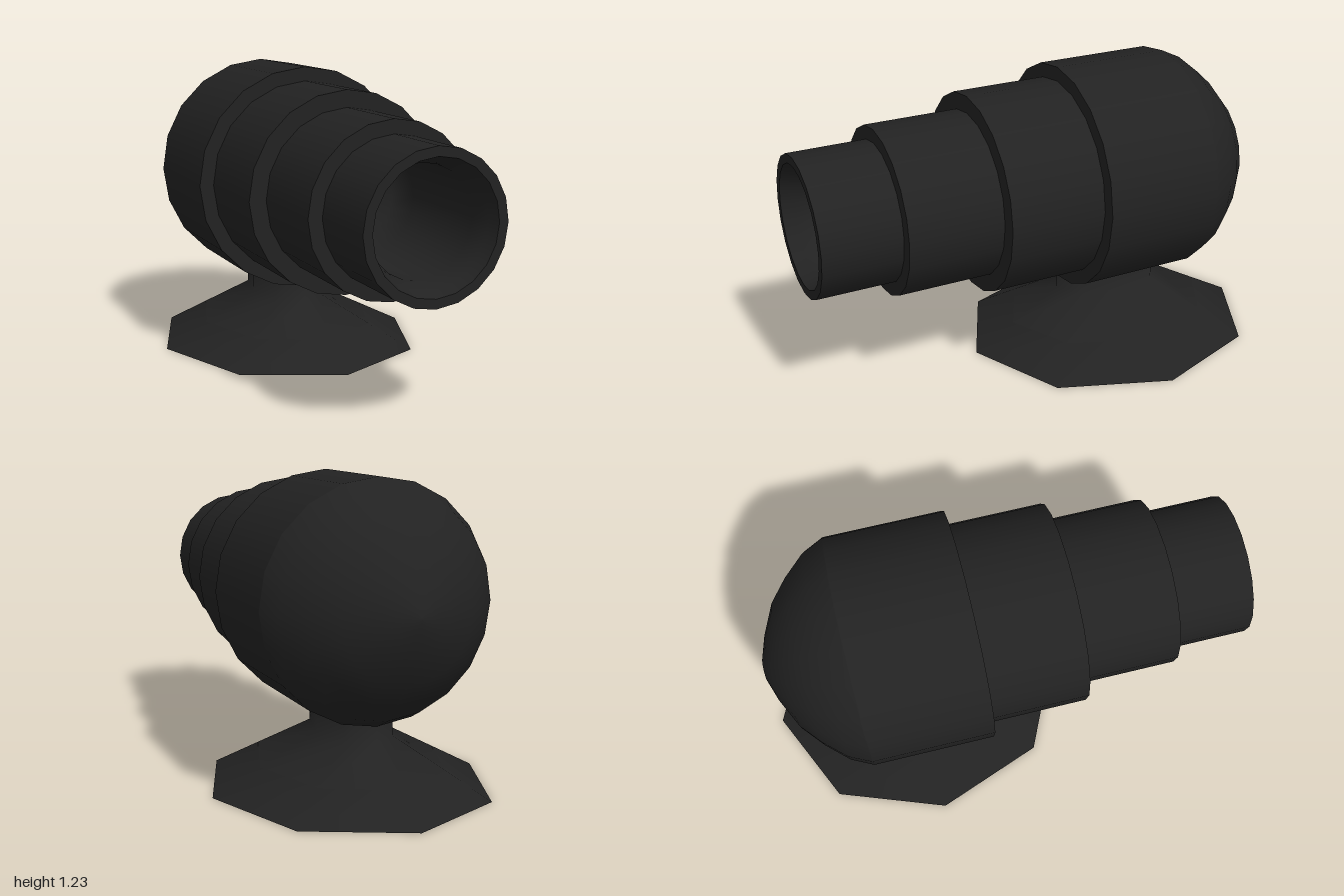
import * as THREE from 'three';

const black = new THREE.MeshStandardMaterial({ color: 0x222222 });
black.name = 'matte black';

const AXIS_X = -0.012, AXIS_Y = 0.757, BASE_Z = -0.36;

// Turned part around the horizontal body axis; profile points are [radius, z].
function turned(name, profile) {
  const points = profile.map(([r, z]) => new THREE.Vector2(r, z));
  const geometry = new THREE.LatheGeometry(points, 20);
  geometry.rotateX(Math.PI / 2);
  const mesh = new THREE.Mesh(geometry, black);
  mesh.name = name;
  mesh.position.set(AXIS_X, AXIS_Y, 0);
  return mesh;
}

// Eight-sided loft through rings [y, halfWidth, halfDepth, centreX], bottom to top.
function octagonLoft(name, rings) {
  const sides = 8, positions = [], index = [];
  for (const [y, rx, rz, cx] of rings) {
    for (let i = 0; i < sides; i++) {
      const a = (i / sides) * Math.PI * 2;
      positions.push(cx + rx * Math.sin(a), y, BASE_Z + rz * Math.cos(a));
    }
  }
  for (let k = 0; k < rings.length - 1; k++) {
    for (let i = 0; i < sides; i++) {
      const a = k * sides + i, b = k * sides + ((i + 1) % sides);
      index.push(a, b, b + sides, a, b + sides, a + sides);
    }
  }
  const geometry = new THREE.BufferGeometry();
  geometry.setAttribute('position', new THREE.Float32BufferAttribute(positions, 3));
  geometry.setIndex(index);
  geometry.computeVertexNormals();
  const mesh = new THREE.Mesh(geometry, black);
  mesh.name = name;
  return mesh;
}

export function createModel() {
  const group = new THREE.Group();
  group.name = 'barrelOnStand';

  // Rounded rear housing
  group.add(turned('rearHousing', [
    [0, -0.952], [0.045, -0.947], [0.138, -0.915], [0.262, -0.855],
    [0.35, -0.78], [0.43, -0.692], [0.472, -0.605], [0.472, -0.6],
  ]));

  // Stepped barrel: [radius, back, front, radius of the next step]
  const steps = [
    [0.472, -0.605, -0.11, 0.4],
    [0.413, -0.12, 0.29, 0.33],
    [0.343, 0.28, 0.68, 0.275],
    [0.287, 0.67, 1.0, 0.25],
  ];
  steps.forEach(([r, back, front, inner], i) => {
    group.add(turned(`barrelSection${i + 1}`, [[r, back], [r, front]]));
    group.add(turned(`barrelShoulder${i + 1}`, [[r, front], [inner, front]]));
  });

  // Hollow muzzle, closed by a softly rounded end
  group.add(turned('bore', [
    [0.25, 1.0], [0.235, 0.95], [0.212, 0.88], [0.212, 0.45],
    [0.15, 0.39], [0, 0.36],
  ]));

  // Stand: flared foot, neck and underside
  group.add(octagonLoft('footRim', [[0, 0.565, 0.64, 0], [0.1, 0.375, 0.46, -0.005]]));
  group.add(octagonLoft('neck', [
    [0.1, 0.375, 0.46, -0.005], [0.22, 0.145, 0.245, AXIS_X], [0.42, 0.145, 0.245, AXIS_X],
  ]));
  const underside = new THREE.Mesh(new THREE.CircleGeometry(1, 8), black);
  underside.name = 'footUnderside';
  underside.rotation.x = Math.PI / 2;
  underside.scale.set(0.565, 0.64, 1);
  underside.position.z = BASE_Z;
  group.add(underside);

  return group;
}
